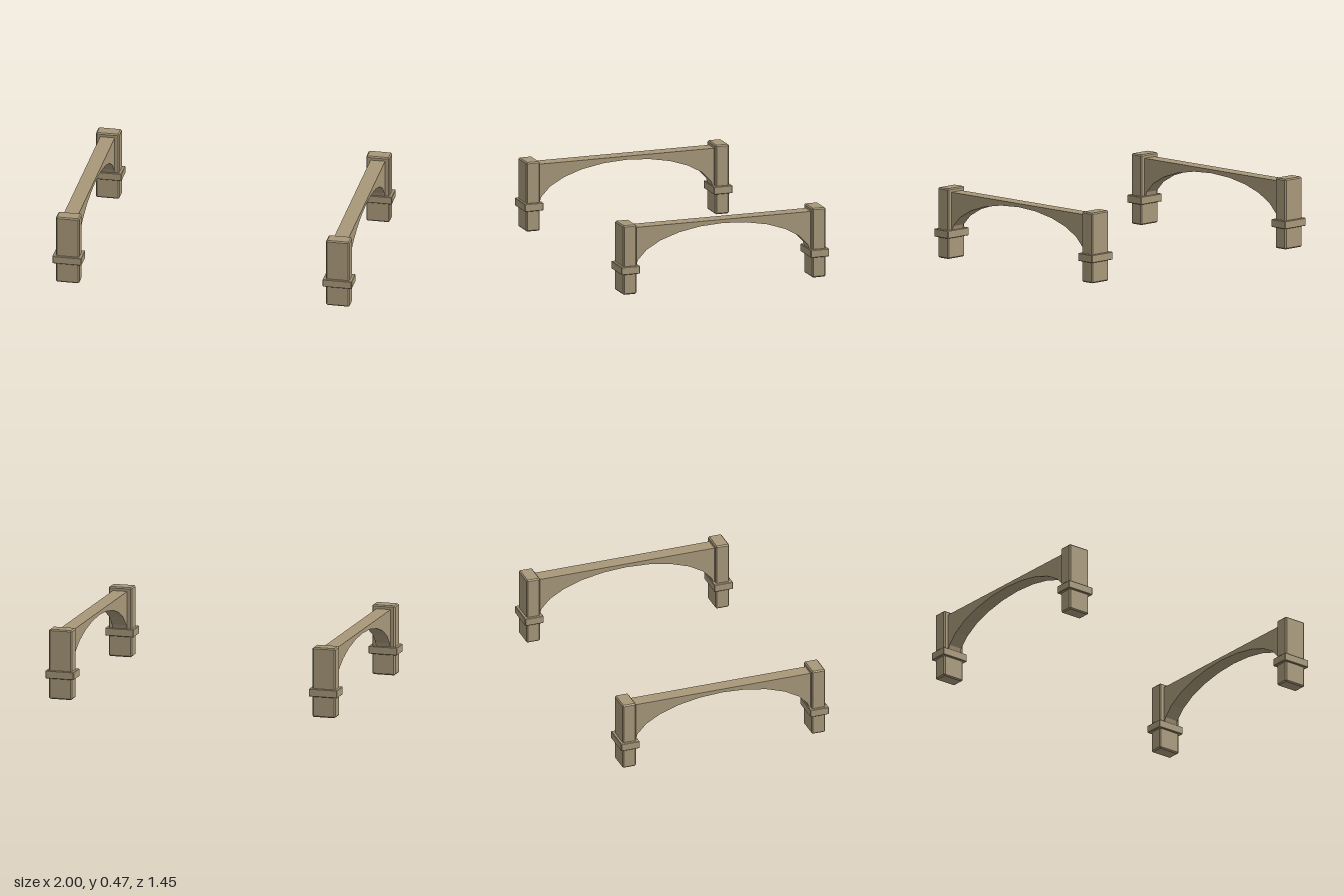
import * as THREE from 'three';
import { ConvexGeometry } from 'three/addons/geometries/ConvexGeometry.js';

const stone = new THREE.MeshStandardMaterial({ color: 0xa8987a });
stone.name = 'sandstone';

// Box with chamfered edges: each corner is split into three points
function chamferedBox(w, h, d, c) {
  const points = [];
  for (const sx of [-1, 1]) for (const sy of [-1, 1]) for (const sz of [-1, 1]) {
    for (let axis = 0; axis < 3; axis++) {
      const inset = [c, c, c];
      inset[axis] = 0;
      points.push(new THREE.Vector3(
        sx * (w / 2 - inset[0]), sy * (h / 2 - inset[1]), sz * (d / 2 - inset[2])));
    }
  }
  return new ConvexGeometry(points);
}

// Spandrel wall: straight top, elliptical underside in 12 facets, spanning z
function archGeometry(span, springY, rise, topY, width) {
  const shape = new THREE.Shape();
  shape.moveTo(span, topY);
  shape.lineTo(-span, topY);
  const steps = 12;
  for (let i = 0; i <= steps; i++) {
    const a = Math.PI * (1 - i / steps);
    shape.lineTo(span * Math.cos(a), springY + rise * Math.sin(a));
  }
  shape.closePath();
  const geometry = new THREE.ExtrudeGeometry(shape, { depth: width, bevelEnabled: false });
  geometry.translate(0, 0, -width / 2);
  geometry.rotateY(Math.PI / 2);
  return geometry;
}

export function createModel() {
  const model = new THREE.Group();
  model.name = 'archedSideFrames';
  const pillarGeometry = chamferedBox(0.157, 0.467, 0.095, 0.008);
  const collarGeometry = chamferedBox(0.194, 0.052, 0.128, 0.003);
  const arch = archGeometry(0.616, 0.15, 0.268, 0.442, 0.097);

  const add = (parent, geometry, name, x, y, z) => {
    const mesh = new THREE.Mesh(geometry, stone);
    mesh.name = name;
    mesh.position.set(x, y, z);
    parent.add(mesh);
  };

  for (const side of [-1, 1]) {
    const frame = new THREE.Group();
    frame.name = side > 0 ? 'leftFrame' : 'rightFrame';
    frame.position.x = side * 0.903;
    add(frame, arch, 'arch', 0, 0, 0);
    // Pillar with a collar at each end of the arch
    for (const end of [-1, 1]) {
      const prefix = end > 0 ? 'front' : 'back';
      add(frame, pillarGeometry, prefix + 'Pillar', 0, 0.2335, end * 0.661);
      add(frame, collarGeometry, prefix + 'Collar', 0, 0.166, end * 0.661);
    }
    model.add(frame);
  }
  return model;
}
